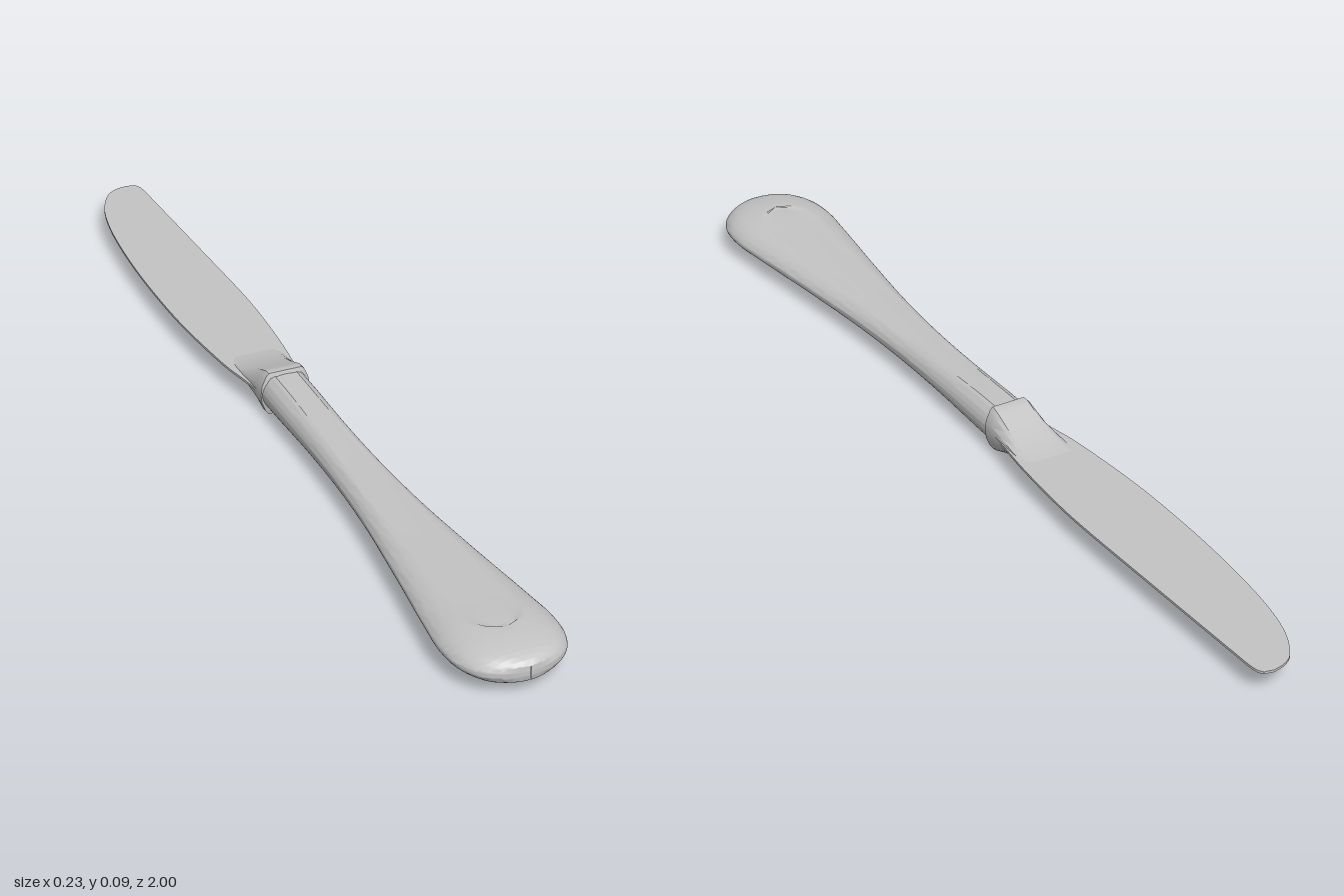
import * as THREE from 'three';
import { toCreasedNormals } from 'three/addons/utils/BufferGeometryUtils.js';

const MID = 0.046; // height of the knife's centre plane

// Smooth list of stations from [half width, half height, z] rows
const stations = (rows, n) =>
  new THREE.CatmullRomCurve3(rows.map(r => new THREE.Vector3(...r)), false, 'centripetal').getPoints(n);

// Mirror the upper right quarter (x from 0 to w) into a full ring, anticlockwise from +x
function ring(quarter) {
  const q = quarter.slice().reverse();
  const upper = [...q, ...quarter.slice(1).map(([x, y]) => [-x, y])];
  return [...upper, ...upper.slice(1, -1).reverse().map(([x, y]) => [x, -y])];
}

// Skin rings that run along +z
function loft(rings, crease) {
  const n = rings[0].pts.length, pos = [], idx = [];
  rings.forEach(({ pts, z }) => pts.forEach(([x, y]) => pos.push(x, y + MID, z)));
  for (let i = 0; i < rings.length - 1; i++) {
    for (let j = 0; j < n; j++) {
      const a = i * n + j, b = i * n + (j + 1) % n;
      idx.push(a, b, a + n, b, b + n, a + n);
    }
  }
  const geo = new THREE.BufferGeometry();
  geo.setAttribute('position', new THREE.Float32BufferAttribute(pos, 3));
  geo.setIndex(idx);
  return toCreasedNormals(geo, crease);
}

// Half width of the sunken panel on the handle, with a rounded end
function panelWidth(z) {
  if (z >= 0.9) return 0;
  const w = 0.023 + 0.033 * THREE.MathUtils.smoothstep(z, 0, 0.95);
  const t = Math.max(0, (z - 0.83) / 0.07);
  return w * Math.sqrt(1 - t * t);
}

function handleGeometry() {
  const rows = [
    [0.050, 0.041, -0.055], [0.050, 0.040, 0], [0.049, 0.035, 0.15], [0.053, 0.032, 0.3],
    [0.064, 0.031, 0.45], [0.084, 0.032, 0.62], [0.106, 0.035, 0.79], [0.114, 0.037, 0.87],
    [0.108, 0.035, 0.925], [0.085, 0.029, 0.968], [0.05, 0.021, 0.99], [0.0005, 0.014, 1],
  ];
  const rings = stations(rows, 110).map(({ x: w, y: h, z }) => {
    const p = Math.min(panelWidth(z), w * 0.6);
    const depth = 0.0025 * Math.min(1, p / 0.02);
    const top = x => h * Math.pow(Math.max(0, 1 - (x / w) ** 3), 0.65);
    const quarter = [0, 0.45, 0.86].map(f => [p * f, top(p * f) - depth]);
    for (let k = 0; k <= 10; k++) {
      const x = p + (w - p) * Math.sin(k / 10 * Math.PI / 2);
      quarter.push([x, k === 10 ? 0 : top(x)]);
    }
    return { pts: ring(quarter), z };
  });
  return loft(rings, 0.7);
}

// Collar with bevelled corners, tapering into the blade
function bolsterGeometry() {
  const rows = [
    [0.057, 0.003, -0.215], [0.057, 0.006, -0.19], [0.056, 0.014, -0.155], [0.054, 0.027, -0.115],
    [0.053, 0.041, -0.08], [0.053, 0.046, -0.066], [0.052, 0.046, -0.055], [0.047, 0.036, -0.052],
  ];
  const rings = rows.map(([w, h, z]) => ({
    pts: ring([[0, h], [w * 0.35, h], [w * 0.68, h], [w * 0.8, h * 0.84], [w * 0.96, h * 0.4], [w, 0]]), z,
  }));
  return loft(rings, 0.5);
}

function bladeGeometry() {
  // Outline in x and -z: curved cutting edge on one side, nearly straight back on the other
  const edge = [[-0.05, 0.06], [-0.06, 0.12], [-0.074, 0.2], [-0.088, 0.36], [-0.091, 0.5], [-0.087, 0.65],
    [-0.074, 0.8], [-0.053, 0.905], [-0.022, 0.97], [0.005, 0.993], [0.033, 1]];
  const back = [[0.052, 0.996], [0.061, 0.975], [0.064, 0.9], [0.071, 0.65], [0.076, 0.45],
    [0.074, 0.34], [0.066, 0.22], [0.056, 0.13], [0.05, 0.06]];
  const spline = pts => new THREE.SplineCurve(pts.map(p => new THREE.Vector2(...p))).getPoints(40);
  const shape = new THREE.Shape([...spline(edge), ...spline(back)]);
  const geo = new THREE.ExtrudeGeometry(shape, { depth: 0.005, bevelEnabled: false });
  geo.rotateX(-Math.PI / 2);
  geo.translate(0, MID - 0.0025 + 0.001, 0);
  return toCreasedNormals(geo, 0.6);
}

export function createModel() {
  const knife = new THREE.Group();
  knife.name = 'tableKnife';
  const steel = new THREE.MeshStandardMaterial({ color: 0xc4c4c4 });
  steel.name = 'steel';
  const parts = { handle: handleGeometry(), bolster: bolsterGeometry(), blade: bladeGeometry() };
  for (const [name, geo] of Object.entries(parts)) {
    const mesh = new THREE.Mesh(geo, steel);
    mesh.name = name;
    knife.add(mesh);
  }
  return knife;
}
